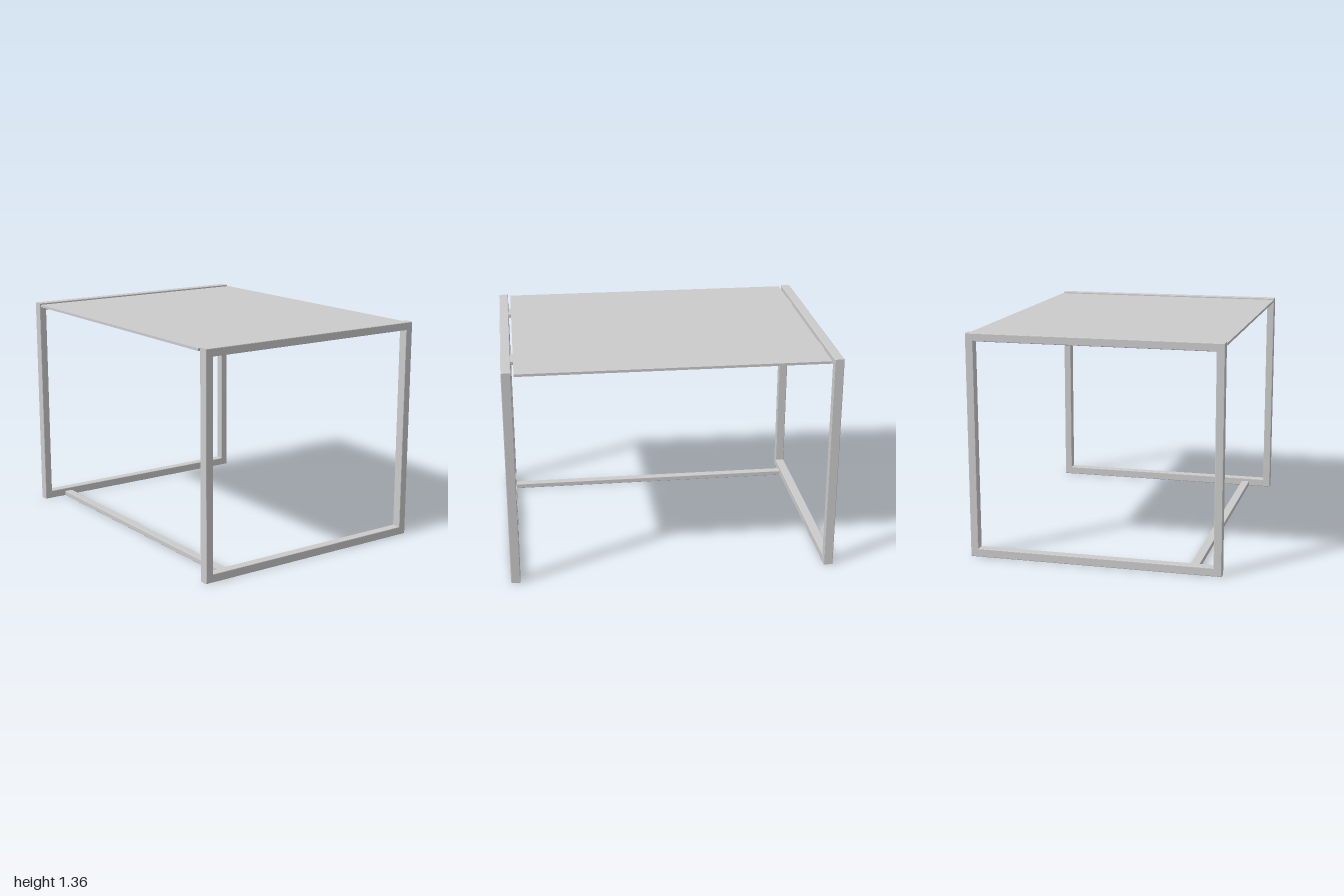
import * as THREE from 'three';
import { RoundedBoxGeometry } from 'three/addons/geometries/RoundedBoxGeometry.js';

const material = new THREE.MeshStandardMaterial({ color: 0xcccccc });
const WIDTH = 1.53, HEIGHT = 1.36, BAR = 0.048, DEPTH = 0.058, BEVEL = 0.004;

function rectangle(Type, x0, y0, x1, y1) {
  const path = new Type();
  path.moveTo(x0, y0);
  path.lineTo(x1, y0);
  path.lineTo(x1, y1);
  path.lineTo(x0, y1);
  path.closePath();
  return path;
}

// Box given by its low and high corners, with optional rounded edges
function block(name, [x0, y0, z0], [x1, y1, z1], radius = 0) {
  const size = [x1 - x0, y1 - y0, z1 - z0];
  const geometry = radius ? new RoundedBoxGeometry(...size, 2, radius) : new THREE.BoxGeometry(...size);
  const mesh = new THREE.Mesh(geometry, material);
  mesh.name = name;
  mesh.position.set((x0 + x1) / 2, (y0 + y1) / 2, (z0 + z1) / 2);
  return mesh;
}

// Rectangular tube frame with softened edges
function frame(name, z) {
  const w = WIDTH / 2, b = BEVEL;
  const shape = rectangle(THREE.Shape, -w + b, b, w - b, HEIGHT - b);
  shape.holes.push(rectangle(THREE.Path, -w + BAR - b, BAR + 0.003 - b, w - BAR + b, HEIGHT - BAR + b));
  const geometry = new THREE.ExtrudeGeometry(shape, {
    depth: DEPTH - 2 * b, bevelEnabled: true, bevelSize: b, bevelThickness: b, bevelSegments: 2,
  });
  geometry.translate(0, 0, b - DEPTH / 2);
  const mesh = new THREE.Mesh(geometry, material);
  mesh.name = name;
  mesh.position.z = z;
  return mesh;
}

export function createModel() {
  const model = new THREE.Group();
  model.name = 'sideTable';
  const inner = 1 - DEPTH;

  // End frames
  model.add(frame('frontFrame', 1 - DEPTH / 2), frame('backFrame', -1 + DEPTH / 2));

  // Thin top resting on the tabs
  model.add(block('tableTop', [-WIDTH / 2, 1.337, -0.926], [WIDTH / 2, 1.352, 0.926]));

  // Floor rail joining the frames
  model.add(block('floorRail', [-0.616, 0.001, -inner], [-0.563, 0.031, inner], 0.003));

  // Support tabs on the inside of each frame
  for (const [x0, x1] of [[-0.527, -0.4], [0.362, 0.505]]) {
    model.add(block('frontTab', [x0, 1.315, 0.895], [x1, 1.337, inner + 0.004], 0.004));
    model.add(block('backTab', [x0, 1.315, -inner - 0.004], [x1, 1.337, -0.895], 0.004));
  }
  return model;
}
